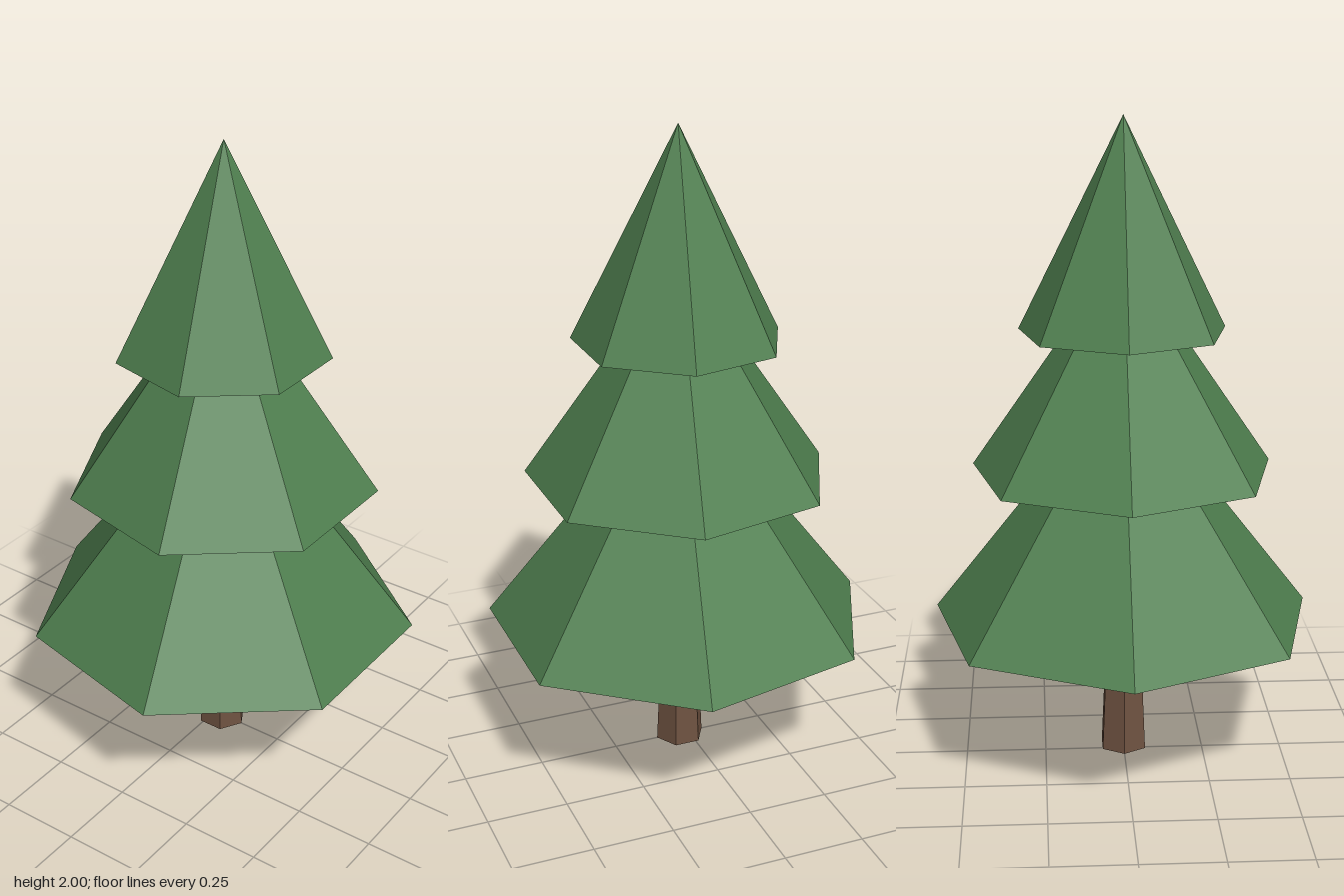
import * as THREE from 'three';

// Gives every face its own flat normal
function faceted(geometry) {
  const flat = geometry.toNonIndexed();
  flat.computeVertexNormals();
  return flat;
}

export function createModel() {
  const foliage = new THREE.MeshStandardMaterial({ color: 0x4f7f4f });
  foliage.name = 'foliage green';
  const bark = new THREE.MeshStandardMaterial({ color: 0x6f5341 });
  bark.name = 'bark brown';

  const tree = new THREE.Group();
  tree.name = 'pineTree';
  const axisZ = 0.03;

  // Tapered six-sided trunk, its top just inside the lowest tier
  const trunkHeight = 0.48;
  const trunk = new THREE.Mesh(
    faceted(new THREE.CylinderGeometry(0.056, 0.078, trunkHeight, 6)), bark);
  trunk.name = 'trunk';
  trunk.position.set(0, trunkHeight / 2, axisZ);
  tree.add(trunk);

  // Three overlapping seven-sided cones, a flat side to the front
  const tiers = [
    { name: 'lowerTier', radius: 0.607, base: 0.438, tip: 1.22 },
    { name: 'middleTier', radius: 0.477, base: 0.918, tip: 1.61 },
    { name: 'upperTier', radius: 0.325, base: 1.353, tip: 2 },
  ];
  for (const { name, radius, base, tip } of tiers) {
    const tier = new THREE.Mesh(
      faceted(new THREE.ConeGeometry(radius, tip - base, 7)), foliage);
    tier.name = name;
    tier.rotation.y = Math.PI;
    tier.position.set(0, (base + tip) / 2, axisZ);
    tree.add(tier);
  }
  return tree;
}
